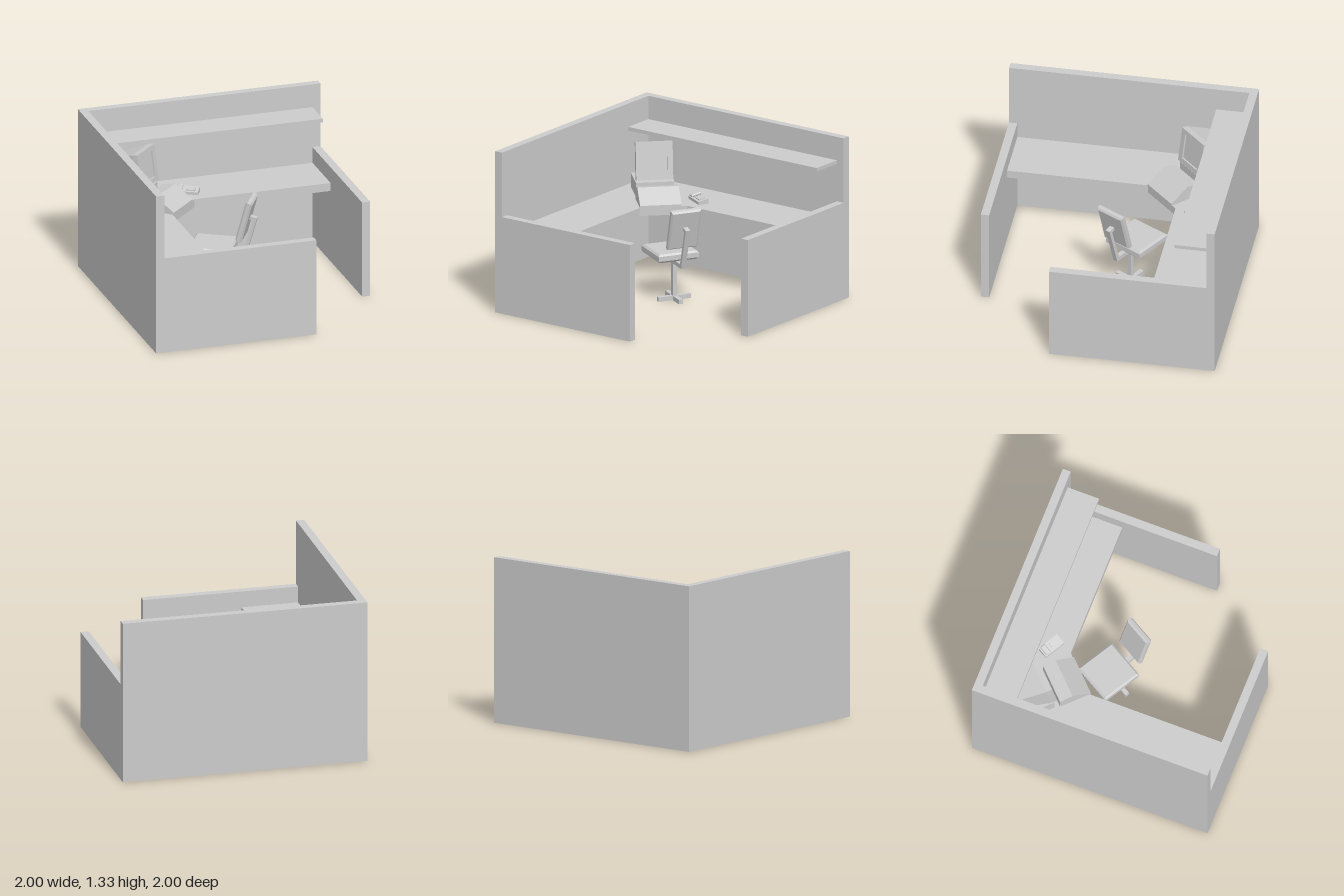
import * as THREE from 'three';

const material = new THREE.MeshStandardMaterial({ color: 0xcccccc, flatShading: true });

function add(parent, name, geometry, x = 0, y = 0, z = 0) {
  const mesh = new THREE.Mesh(geometry, material);
  mesh.name = name;
  mesh.position.set(x, y, z);
  parent.add(mesh);
  return mesh;
}

// Box given by its limits on each axis
function block(parent, name, [x0, x1], [y0, y1], [z0, z1]) {
  return add(parent, name, new THREE.BoxGeometry(x1 - x0, y1 - y0, z1 - z0),
    (x0 + x1) / 2, (y0 + y1) / 2, (z0 + z1) / 2);
}

function polygon(points) {
  return new THREE.Shape(points.map(([x, y]) => new THREE.Vector2(x, y)));
}

function rectangle(halfW, halfH) {
  return [[-halfW, -halfH], [halfW, -halfH], [halfW, halfH], [-halfW, halfH]];
}

// Slab with chamfered edges, centred, thickness along z
function cushion(w, h, t, c) {
  const geo = new THREE.ExtrudeGeometry(polygon(rectangle(w / 2 - c, h / 2 - c)), {
    depth: t - 2 * c, bevelEnabled: true, bevelSize: c, bevelThickness: c, bevelSegments: 1,
  });
  return geo.translate(0, 0, c - t / 2);
}

// Side profile of [z, y] points, extruded across x and centred
function sideProfile(points, width) {
  const geo = new THREE.ExtrudeGeometry(polygon(points.map(([z, y]) => [-z, y])),
    { depth: width, bevelEnabled: false });
  return geo.translate(0, 0, -width / 2).rotateY(Math.PI / 2);
}

function createWalls() {
  const g = new THREE.Group();
  g.name = 'partitions';
  block(g, 'backPartition', [-1, 1], [0, 1.333], [-1, -0.933]);
  block(g, 'rightPartition', [-1, -0.933], [0, 1.333], [-0.933, 1]);
  block(g, 'frontPartition', [-0.933, 0.333], [0, 0.8], [0.933, 1]);
  block(g, 'leftPartition', [0.933, 1], [0, 0.8], [-0.933, 0.333]);
  block(g, 'shelf', [-0.933, 0.933], [1.11, 1.14], [-0.933, -0.667]);
  return g;
}

// L-shaped desktop with a diagonal inner corner
function createDesk() {
  const outline = polygon([[-0.933, -0.933], [-0.47, -0.933], [-0.47, 0.2], [-0.2, 0.47],
    [0.933, 0.47], [0.933, 0.933], [-0.933, 0.933]]);
  const geo = new THREE.ExtrudeGeometry(outline, { depth: 0.067, bevelEnabled: false });
  const desk = new THREE.Mesh(geo.rotateX(-Math.PI / 2), material);
  desk.name = 'desk';
  desk.position.y = 0.6;
  return desk;
}

function createComputer() {
  const g = new THREE.Group();
  g.name = 'computer';
  g.rotation.y = Math.PI / 4;
  const cx = -0.022;
  block(g, 'computerCase', [cx - 0.155, cx + 0.155], [0.667, 0.782], [-1.063, -0.776]);
  block(g, 'monitorStand', [cx - 0.07, cx + 0.07], [0.782, 0.835], [-0.99, -0.86]);

  // Keyboard wedge with a ridge near the back
  add(g, 'keyboard', sideProfile([[-0.733, 0.667], [-0.467, 0.667], [-0.467, 0.685],
    [-0.625, 0.79], [-0.733, 0.768]], 0.332), cx, 0, 0);

  // Monitor leaning slightly back
  const monitor = new THREE.Group();
  monitor.name = 'monitor';
  monitor.position.set(-0.029, 0.959, -0.776);
  monitor.rotation.x = -0.14;
  g.add(monitor);

  const frame = polygon(rectangle(0.148, 0.15));
  frame.holes.push(new THREE.Path(
    rectangle(0.103, 0.109).reverse().map(([x, y]) => new THREE.Vector2(x, y))));
  add(monitor, 'bezel', new THREE.ExtrudeGeometry(frame, { depth: 0.05, bevelEnabled: false }), 0, 0, -0.05);
  add(monitor, 'screen', new THREE.BoxGeometry(0.206, 0.218, 0.03), 0, 0, -0.03);

  // Casing narrows towards the back
  const casing = new THREE.BoxGeometry(0.296, 0.3, 0.242);
  const p = casing.attributes.position;
  for (let i = 0; i < p.count; i++) {
    if (p.getZ(i) < 0) p.setXY(i, p.getX(i) * 0.62, p.getY(i) * 0.61);
  }
  add(monitor, 'casing', casing, 0, 0, -0.171);
  return g;
}

function createTelephone() {
  const g = new THREE.Group();
  g.name = 'telephone';
  g.position.set(-0.208, 0.667, -0.63);
  g.rotation.y = -0.5;
  // Body is a little higher at the back
  add(g, 'telephoneBody', sideProfile([[0.044, 0], [0.044, 0.022], [-0.044, 0.042], [-0.044, 0]], 0.186));
  const handset = add(g, 'handset', cushion(0.045, 0.085, 0.022, 0.006), -0.06, 0.042, 0);
  handset.rotation.x = -Math.PI / 2 + 0.22;
  const keypad = add(g, 'keypad', new THREE.BoxGeometry(0.07, 0.008, 0.05), 0.03, 0.034, 0);
  keypad.rotation.x = 0.22;
  return g;
}

function createChair() {
  const g = new THREE.Group();
  g.name = 'chair';
  g.position.set(-0.145, 0, -0.17);
  g.rotation.y = -Math.PI * 2 / 3;

  const seat = add(g, 'seat', cushion(0.345, 0.345, 0.07, 0.015), 0, 0.375, 0);
  seat.rotation.x = -Math.PI / 2;
  const back = add(g, 'backrest', cushion(0.257, 0.345, 0.055, 0.014), 0, 0.64, -0.272);
  back.rotation.x = -0.26;

  // Bent bar from under the seat up behind the backrest
  add(g, 'backBar', sideProfile([[0.02, 0.34], [0.02, 0.305], [-0.265, 0.305], [-0.36, 0.645],
    [-0.285, 0.665], [-0.285, 0.635], [-0.328, 0.625], [-0.243, 0.34]], 0.04));

  // Column on a four-armed foot
  const columnZ = -0.078;
  add(g, 'column', new THREE.BoxGeometry(0.035, 0.32, 0.035), 0, 0.18, columnZ);
  for (let i = 0; i < 4; i++) {
    const arm = add(g, 'footArm', new THREE.BoxGeometry(0.036, 0.036, 0.14).translate(0, 0, 0.07), 0, 0.018, columnZ);
    arm.rotation.y = i * Math.PI / 2;
  }
  return g;
}

export function createModel() {
  const model = new THREE.Group();
  model.name = 'officeCubicle';
  model.add(createWalls(), createDesk(), createComputer(), createTelephone(), createChair());
  return model;
}
